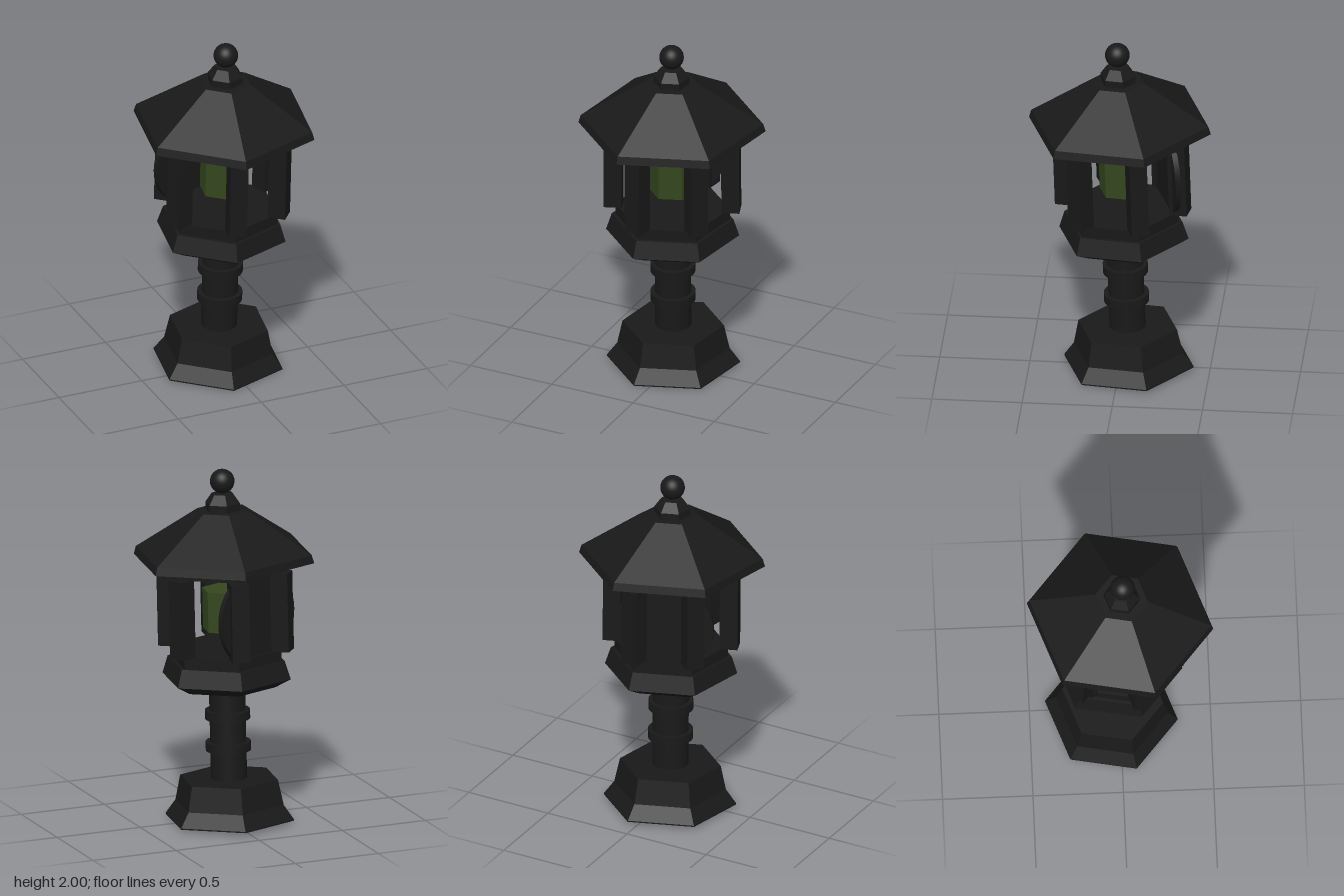
import * as THREE from 'three';

const rad = THREE.MathUtils.degToRad;

export function createModel() {
  const model = new THREE.Group();
  model.name = 'stoneLantern';

  const flatStone = new THREE.MeshStandardMaterial({ color: 0x191919, flatShading: true });
  const smoothStone = new THREE.MeshStandardMaterial({ color: 0x191919 });
  const green = new THREE.MeshStandardMaterial({ color: 0x34471f, flatShading: true });

  // The whole lantern leans slightly and is turned about its axis
  const lean = new THREE.Group();
  lean.name = 'leaningLantern';
  lean.position.set(-0.02, 0, -0.048);
  lean.rotation.set(0.033, 0, -0.01);
  model.add(lean);
  const body = new THREE.Group();
  body.name = 'lanternBody';
  body.rotation.y = rad(-10);
  lean.add(body);

  function add(name, geometry, material, x = 0, y = 0, z = 0) {
    const mesh = new THREE.Mesh(geometry, material);
    mesh.name = name;
    mesh.position.set(x, y, z);
    body.add(mesh);
    return mesh;
  }

  // Six-sided solid from [radius, height] pairs, bottom to top
  function hexSolid(name, profile, material = flatStone) {
    const closed = [[0, profile[0][1]], ...profile, [0, profile.at(-1)[1]]];
    const points = closed.map(([r, y]) => new THREE.Vector2(r, y));
    return add(name, new THREE.LatheGeometry(points, 6), material);
  }

  function drum(name, radius, y0, y1) {
    return add(name, new THREE.CylinderGeometry(radius, radius, y1 - y0, 32), smoothStone, 0, (y0 + y1) / 2, 0);
  }

  // Foot, column and its two rings
  hexSolid('base', [[0.37, 0.013], [0.37, 0.02], [0.312, 0.1], [0.282, 0.242]]);
  drum('column', 0.1, 0.23, 0.79);
  for (const y of [0.4, 0.58]) drum('columnRing', 0.125, y, y + 0.05);

  // Platform under the light chamber
  hexSolid('platform', [[0.28, 0.77], [0.37, 0.82], [0.338, 0.92]]);
  hexSolid('chamberFloor', [[0.318, 0.9], [0.318, 0.985]]);

  // Posts at the six corners
  const postShape = new THREE.BoxGeometry(0.1, 0.445, 0.1);
  for (let i = 0; i < 6; i++) {
    const a = rad(i * 60);
    const post = add('post', postShape, flatStone, 0.327 * Math.sin(a), 1.2075, 0.327 * Math.cos(a));
    post.rotation.y = a;
  }

  // Round panel closing one side at the back
  const side = rad(210);
  const panel = add('backPanel', new THREE.CylinderGeometry(0.275, 0.275, 0.03, 48), smoothStone,
    0.25 * Math.sin(side), 1.2, 0.25 * Math.cos(side));
  panel.rotation.set(Math.PI / 2, 0, -side);

  // Green light in the chamber
  hexSolid('light', [[0.13, 1.09], [0.13, 1.32]], green);

  // Roof, cap and ball
  hexSolid('chamberCeiling', [[0.318, 1.425], [0.318, 1.5]]);
  hexSolid('roof', [[0.52, 1.49], [0.507, 1.535], [0.147, 1.77]]);
  hexSolid('roofCap', [[0.1, 1.76], [0.1, 1.81], [0.062, 1.863]]);
  add('ball', new THREE.SphereGeometry(0.068, 32, 20), smoothStone, 0, 1.932, 0);

  return model;
}
